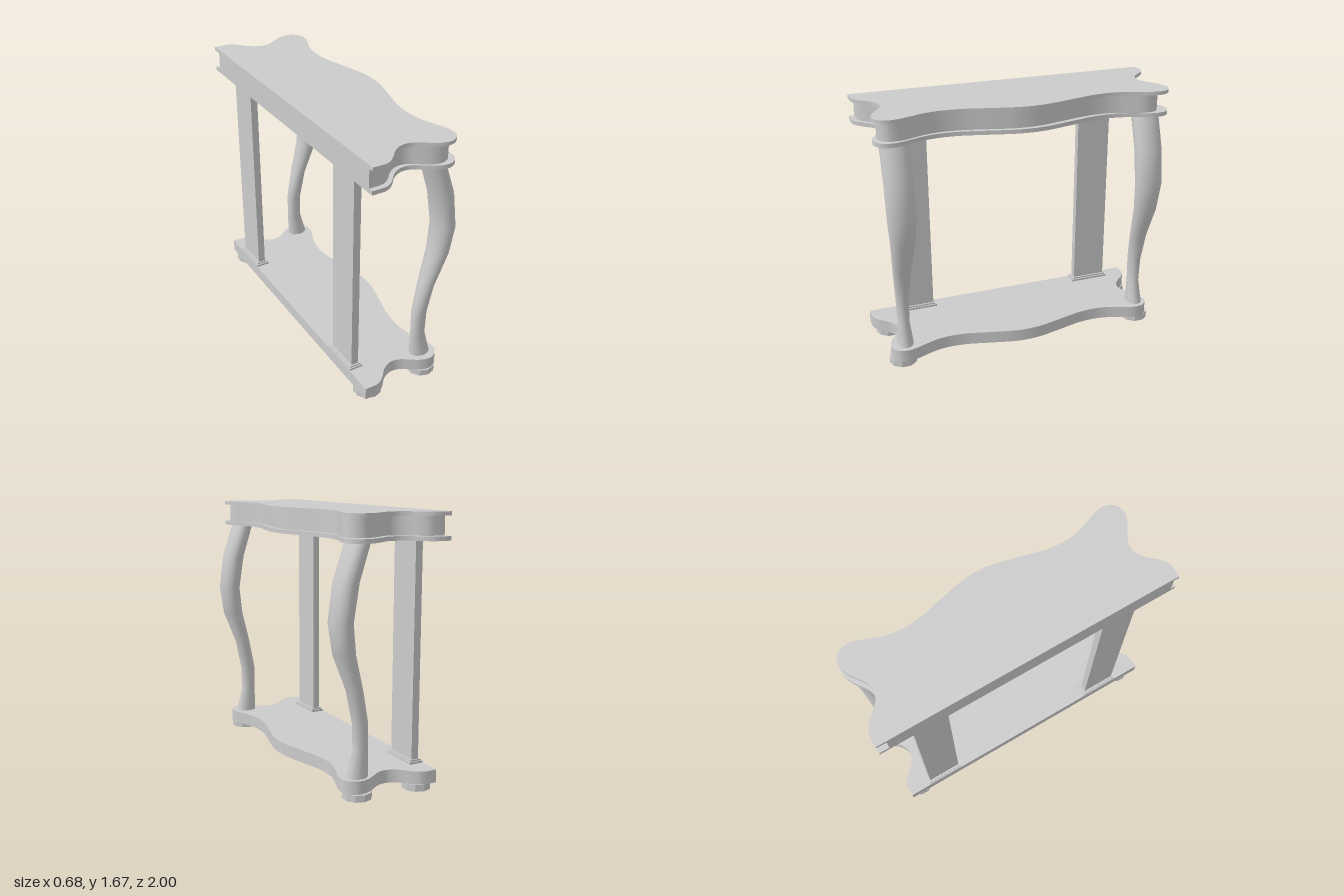
import * as THREE from 'three';
import { toCreasedNormals } from 'three/addons/utils/BufferGeometryUtils.js';

const grey = new THREE.MeshStandardMaterial({ color: 0xcccccc });

// Half of the serpentine outline as [x, z], from the back corner to the middle of the front
const half = [
  [-0.27, 1], [-0.235, 0.99], [-0.19, 0.955], [-0.14, 0.9], [-0.09, 0.868], [-0.045, 0.86],
  [0.005, 0.872], [0.06, 0.908], [0.12, 0.945], [0.185, 0.96], [0.235, 0.94], [0.265, 0.9],
  [0.267, 0.83], [0.24, 0.75], [0.21, 0.67], [0.194, 0.6], [0.19, 0.53], [0.2, 0.42],
  [0.227, 0.31], [0.255, 0.2], [0.278, 0.1], [0.286, 0],
];
const BACK = -0.346;

function add(parent, name, geometry, x = 0, y = 0, z = 0) {
  const mesh = new THREE.Mesh(geometry, grey);
  mesh.name = name;
  mesh.position.set(x, y, z);
  parent.add(mesh);
  return mesh;
}

// Serpentine board between two heights, scaled about the origin
function board(scale, y0, y1) {
  const mirrored = half.slice(0, -1).reverse().map(([x, z]) => [x, -z]);
  const curve = new THREE.CatmullRomCurve3(
    [...half, ...mirrored].map(([x, z]) => new THREE.Vector3(x, z, 0)));
  const points = curve.getPoints(126).map(p => new THREE.Vector2(p.x * scale, p.y * scale));
  points.push(new THREE.Vector2(BACK * scale, -scale));
  points.unshift(new THREE.Vector2(BACK * scale, scale));
  const geometry = new THREE.ExtrudeGeometry(new THREE.Shape(points),
    { depth: y1 - y0, bevelEnabled: false });
  geometry.rotateX(-Math.PI / 2).translate(0, y0, 0);
  return toCreasedNormals(geometry, 0.5);
}

// Leg sections: height, centre x, half depth in x, half width in z
const sections = [
  [0.12, 0.155, 0.069, 0.054], [0.28, 0.134, 0.048, 0.038], [0.445, 0.136, 0.05, 0.043],
  [0.647, 0.175, 0.049, 0.058], [0.867, 0.246, 0.066, 0.076], [1.055, 0.27, 0.068, 0.091],
  [1.283, 0.237, 0.071, 0.092], [1.515, 0.16, 0.067, 0.092],
];

// Curved leg: each ring of a cylinder is moved onto its section
function legGeometry() {
  const geometry = new THREE.CylinderGeometry(1, 1, 1, 20, sections.length - 1, true);
  const pos = geometry.attributes.position;
  for (let i = 0; i < pos.count; i++) {
    const ring = Math.round((pos.getY(i) + 0.5) * (sections.length - 1));
    const [y, x, rx, rz] = sections[ring];
    pos.setXYZ(i, x + pos.getX(i) * rx, y, pos.getZ(i) * rz);
  }
  return toCreasedNormals(geometry, 0.7);
}

export function createModel() {
  const group = new THREE.Group();
  group.name = 'consoleTable';

  // Table top: two thin boards with a recessed apron, flush at the back
  add(group, 'topBoard', board(1, 1.65, 1.673));
  add(group, 'lowerTopBoard', board(1, 1.507, 1.533));
  add(group, 'apron', board(0.952, 1.533, 1.65), BACK * 0.048, 0, 0.016);

  // Base shelf
  add(group, 'baseShelf', board(0.952, 0.042, 0.124), -0.003, 0, 0.017);

  // Bun feet
  const foot = new THREE.CylinderGeometry(0.091, 0.091, 0.042, 10).toNonIndexed();
  foot.computeVertexNormals();
  for (const [x, z] of [[0.158, 0.852], [0.158, -0.827], [-0.248, 0.852], [-0.248, -0.845]]) {
    add(group, 'foot', foot, x, 0.021, z);
  }

  // Front legs
  const leg = legGeometry();
  for (const z of [0.833, -0.819]) add(group, 'frontLeg', leg, 0, 0, z);

  // Rear pilasters on stepped plinths
  for (const z of [0.646, -0.66]) {
    const pilaster = new THREE.Group();
    pilaster.name = 'rearPilaster';
    pilaster.position.set(-0.284, 0, z);
    add(pilaster, 'shaft', new THREE.BoxGeometry(0.048, 1.375, 0.23), 0, 0.8225, 0);
    add(pilaster, 'plinth', new THREE.BoxGeometry(0.091, 0.014, 0.268), 0, 0.131, 0);
    add(pilaster, 'plinthStep', new THREE.BoxGeometry(0.072, 0.01, 0.25), 0, 0.143, 0);
    group.add(pilaster);
  }
  return group;
}
